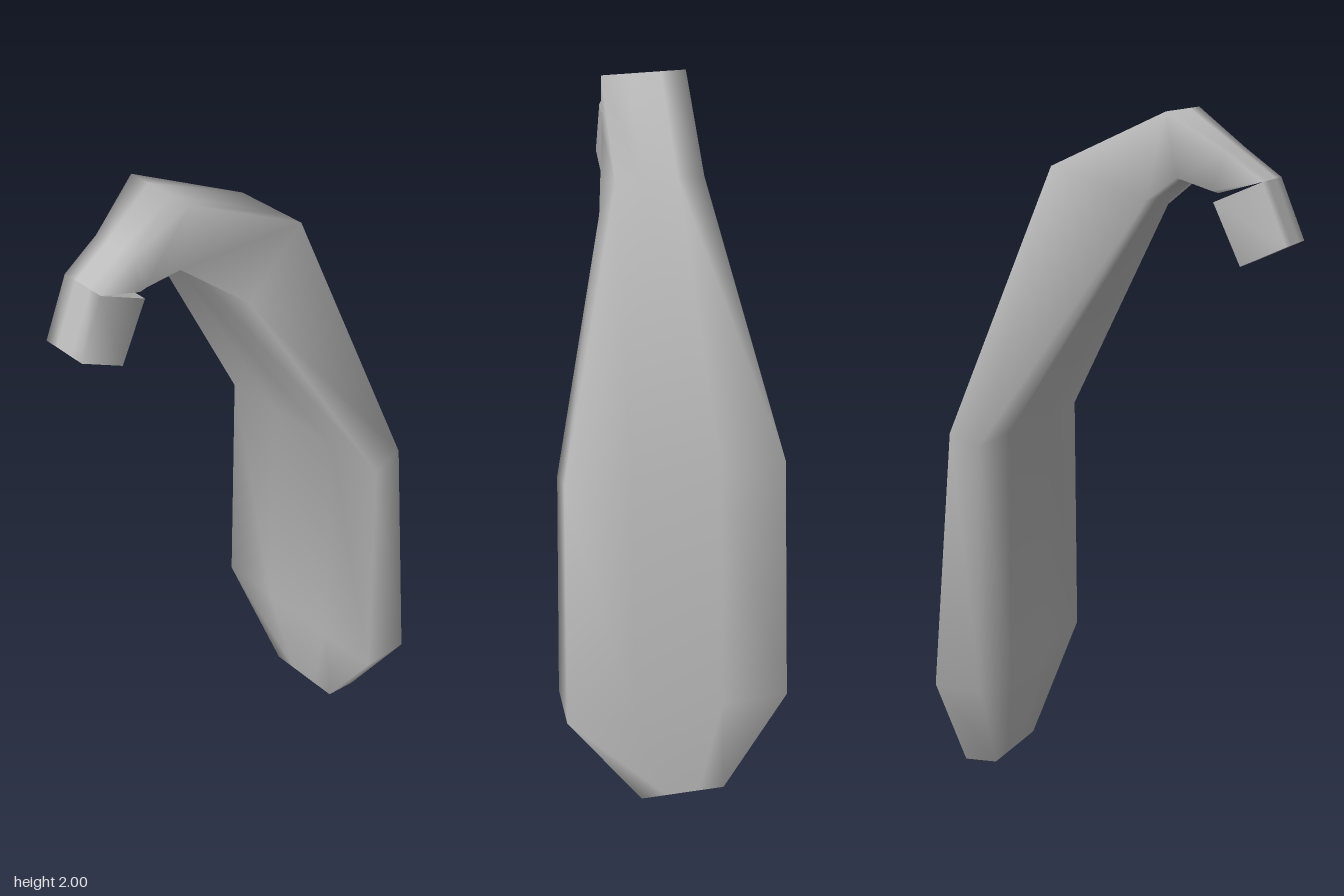
import * as THREE from 'three';

// One cross-section: outer and inner edge as [z, y], each with its left and right x.
// bow pushes the middle of the outer edge back; innerPlus is the inner corner on +x.
function ring({ outer, outerX, inner, innerX, innerPlus = inner, bow = 0 }) {
  const columns = [0, 0.3, 0.7, 1];
  const points = columns.map((t, i) => [
    THREE.MathUtils.lerp(outerX[0], outerX[1], t), outer[1],
    outer[0] + (i === 0 || i === 3 ? bow : 0)]);
  const back = columns.map((t, i) => {
    const p = i === 3 ? innerPlus : inner;
    return [THREE.MathUtils.lerp(innerX[0], innerX[1], t), p[1], p[0]];
  });
  return points.concat(back.reverse());
}

// Smooth skin over the sections, with flat end caps on their own vertices
function loft(sections, capStart, capEnd) {
  const rings = sections.map(ring);
  const n = rings[0].length;
  const positions = rings.flat(2);
  const index = [];
  for (let k = 0; k < rings.length - 1; k++) {
    for (let j = 0; j < n; j++) {
      const a = k * n + j, b = k * n + (j + 1) % n;
      index.push(a, a + n, b + n, a, b + n, b);
    }
  }
  const addCap = (points, flip) => {
    const start = positions.length / 3;
    positions.push(...points.flat());
    for (let j = 1; j < n - 1; j++) {
      if (flip) index.push(start, start + j + 1, start + j);
      else index.push(start, start + j, start + j + 1);
    }
  };
  if (capStart) addCap(rings[0], false);
  if (capEnd) addCap(rings[rings.length - 1], true);
  const geometry = new THREE.BufferGeometry();
  geometry.setAttribute('position', new THREE.Float32BufferAttribute(positions, 3));
  geometry.setIndex(index);
  geometry.computeVertexNormals();
  return geometry;
}

export function createModel() {
  const group = new THREE.Group();
  const grey = new THREE.MeshStandardMaterial({ color: 0xbbbbbb });
  grey.name = 'plain grey';

  const add = (name, geometry) => {
    const mesh = new THREE.Mesh(geometry, grey);
    mesh.name = name;
    group.add(mesh);
  };

  const neckX = [-0.105, 0.045];
  const neckEnd = { outer: [0.43, 1.82], outerX: neckX, inner: [0.305, 1.785], innerX: neckX };

  // Broad paddle rising into a bent shoulder and a narrow neck
  add('paddleBody', loft([
    { outer: [-0.5, 0], outerX: [-0.14, 0.11], inner: [-0.395, 0.01], innerX: [-0.14, 0.11] },
    { outer: [-0.5, 0.32], outerX: [-0.325, 0.325], inner: [-0.34, 0.32], innerX: [-0.325, 0.325], bow: 0.01 },
    { outer: [-0.44, 1.09], outerX: [-0.305, 0.305], inner: [-0.335, 1.06], innerX: [-0.31, 0.31], bow: 0.01 },
    { outer: [-0.19, 1.84], outerX: [-0.12, 0.115], inner: [0.11, 1.76], innerX: [-0.145, 0.125], innerPlus: [0, 1.67] },
    { outer: [0.17, 2], outerX: [-0.15, 0.085], inner: [0.2, 1.825], innerX: [-0.145, 0.08] },
    { outer: [0.325, 1.895], outerX: neckX, inner: [0.285, 1.79], innerX: neckX },
    neckEnd,
  ], true, false));

  // Downturned square nozzle
  add('nozzle', loft([
    { ...neckEnd, inner: [0.29, 1.76] },
    { outer: [0.5, 1.65], outerX: neckX, inner: [0.37, 1.59], innerX: neckX },
  ], true, true));

  return group;
}
